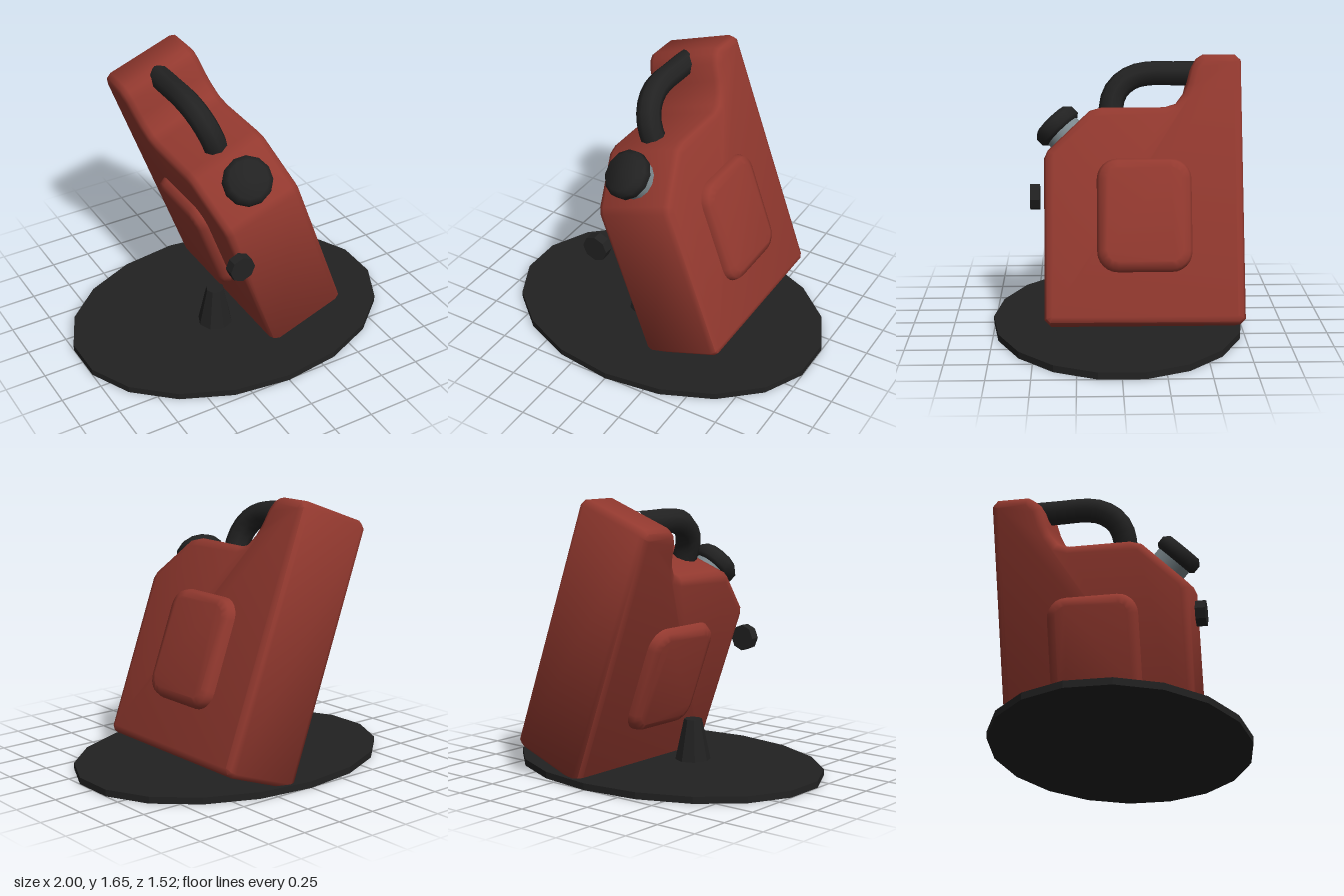
import * as THREE from 'three';
import { toCreasedNormals } from 'three/addons/utils/BufferGeometryUtils.js';

const material = (name, color, flatShading = false) => {
  const m = new THREE.MeshStandardMaterial({ color, flatShading });
  m.name = name;
  return m;
};

// Extrude a (-z, y) shape across x, centred, with its bevel kept inside the outline.
function extrudeAcross(shape, width, bevelThickness, bevelSize) {
  const depth = width - 2 * bevelThickness;
  const geo = new THREE.ExtrudeGeometry(shape, {
    depth, bevelEnabled: true, bevelThickness, bevelSize,
    bevelOffset: -bevelSize, bevelSegments: 2, curveSegments: 3,
  });
  geo.translate(0, 0, -depth / 2).rotateY(Math.PI / 2);
  return toCreasedNormals(geo, 0.9);
}

function roundedRect(cx, cy, w, h, r) {
  const s = new THREE.Shape();
  const x = w / 2 - r, y = h / 2 - r, q = Math.PI / 2;
  [[x, y], [-x, y], [-x, -y], [x, -y]].forEach(([dx, dy], i) =>
    s.absarc(cx + dx, cy + dy, r, i * q, (i + 1) * q, false));
  s.closePath();
  return s;
}

export function createModel() {
  const model = new THREE.Group();
  model.name = 'tiltedFuelCan';
  const red = material('canRed', 0x93392f);
  const black = material('rubberBlack', 0x222222);
  const blackFacet = black.clone();
  blackFacet.flatShading = true;
  const grey = material('neckGrey', 0x7c898e);

  const add = (parent, name, geo, mat, x = 0, y = 0, z = 0) => {
    const mesh = new THREE.Mesh(geo, mat);
    mesh.name = name;
    mesh.position.set(x, y, z);
    parent.add(mesh);
    return mesh;
  };

  // Oval base plate
  const plate = new THREE.CylinderGeometry(1, 1, 0.04, 18).scale(1.015, 1, 0.76);
  add(model, 'basePlate', plate, blackFacet, 0, 0.02, 0);

  // Tapered post and floating knob
  add(model, 'post', new THREE.CylinderGeometry(0.055, 0.108, 0.25, 8), blackFacet, -0.125, 0.165, 0.08);
  add(model, 'knob', new THREE.CylinderGeometry(0.08, 0.08, 0.06, 8).rotateX(Math.PI / 2),
    blackFacet, -0.195, 0.745, 0.505);

  // Everything on the can leans together
  const can = new THREE.Group();
  can.name = 'can';
  can.position.set(0.342, 0.085, 0);
  can.rotation.z = THREE.MathUtils.degToRad(20);
  model.add(can);

  // Can body: side profile as [z, y]
  const profile = [
    [0.435, 0.03], [0.405, 0], [-0.695, 0], [-0.725, 0.03], [-0.725, 1.55], [-0.69, 1.585],
    [-0.5, 1.585], [-0.46, 1.56], [-0.43, 1.51], [-0.405, 1.41], [-0.38, 1.35], [-0.335, 1.29],
    [-0.27, 1.27], [0.1, 1.27], [0.17, 1.25], [0.415, 1.015], [0.435, 0.97],
  ].map(([z, y]) => new THREE.Vector2(-z, y));
  add(can, 'canBody', extrudeAcross(new THREE.Shape(profile), 0.52, 0.045, 0.045), red);

  // Raised panels on both sides
  add(can, 'sidePanels', extrudeAcross(roundedRect(0.145, 0.63, 0.55, 0.66, 0.12), 0.635, 0.055, 0.055), red);

  // Carrying handle
  const path = new THREE.CatmullRomCurve3([
    [0.035, 1.2], [0.035, 1.34], [-0.005, 1.43], [-0.09, 1.495], [-0.19, 1.518], [-0.34, 1.518], [-0.5, 1.518],
  ].map(([z, y]) => new THREE.Vector3(0, y, z)));
  add(can, 'handle', toCreasedNormals(new THREE.TubeGeometry(path, 14, 0.074, 8), 0.9), black);

  // Neck and cap on the sloping front shoulder
  const spout = new THREE.Group();
  spout.name = 'spout';
  spout.position.set(0, 1.165, 0.33);
  spout.rotation.x = 0.76;
  can.add(spout);
  add(spout, 'neck', new THREE.CylinderGeometry(0.118, 0.118, 0.14, 14), grey, 0, -0.065, 0);
  const capProfile = [[0, 0], [0.125, 0], [0.145, 0.02], [0.145, 0.07], [0.115, 0.1], [0, 0.1]]
    .map(([r, y]) => new THREE.Vector2(r, y));
  add(spout, 'cap', toCreasedNormals(new THREE.LatheGeometry(capProfile, 12), 0.9), black);

  return model;
}
